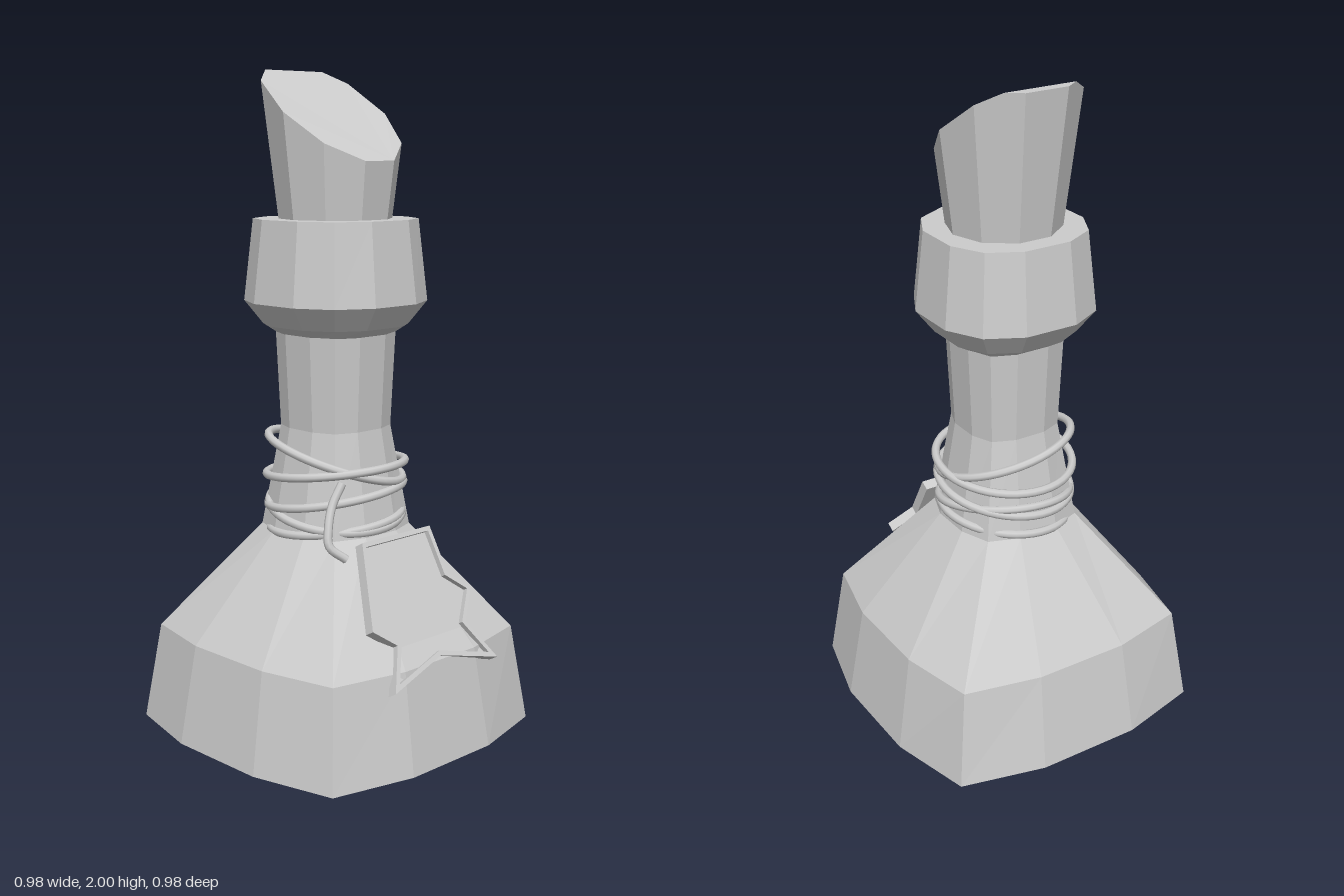
import * as THREE from 'three';

const grey = new THREE.MeshStandardMaterial({ color: 0xcccccc });
grey.name = 'plain grey';
grey.flatShading = true;
const ropeGrey = grey.clone();
ropeGrey.name = 'plain grey smooth';
ropeGrey.flatShading = false;

function add(group, name, geometry, material = grey) {
  const mesh = new THREE.Mesh(geometry, material);
  mesh.name = name;
  group.add(mesh);
  return mesh;
}

// Joins rings of points (anticlockwise seen from above) and closes the given upward caps
function loft(rings, caps) {
  const pos = [];
  const tri = (...pts) => pts.forEach((p) => pos.push(...p));
  for (let k = 0; k < rings.length - 1; k++) {
    const lo = rings[k], hi = rings[k + 1], n = lo.length;
    for (let i = 0; i < n; i++) {
      const j = (i + 1) % n;
      tri(lo[i], lo[j], hi[j]);
      tri(lo[i], hi[j], hi[i]);
    }
  }
  const bottom = [...rings[0]].reverse();
  for (const cap of [bottom, ...caps]) {
    for (let i = 1; i < cap.length - 1; i++) tri(cap[0], cap[i], cap[i + 1]);
  }
  const geo = new THREE.BufferGeometry();
  geo.setAttribute('position', new THREE.Float32BufferAttribute(pos, 3));
  geo.computeVertexNormals();
  return geo;
}

// Twelve-cornered ring: a = half flat side, c = diagonal corner, r = reach
function ring([y, a, c, r]) {
  const pts = [];
  for (let q = 0; q < 4; q++) {
    for (const [x, z] of [[-a, r], [a, r], [c, c]]) {
      const t = q * Math.PI / 2;
      pts.push([x * Math.cos(t) + z * Math.sin(t), y, z * Math.cos(t) - x * Math.sin(t)]);
    }
  }
  return pts;
}

function ringBody(profile) {
  const rings = profile.map(ring);
  return loft(rings, [rings[rings.length - 1]]);
}

// Ten-sided stopper, cut at a slant with a small level strip at the back
function stopper() {
  const half = [[0.309, 0.951, 1.735], [0.809, 0.588, 1.785], [1, 0, 1.873],
    [0.809, -0.588, 1.965], [0.517, -0.8, 2], [0.309, -0.951, 2]];
  const mirrored = [...half].reverse().map(([x, z, y]) => [-x, z, y]);
  const all = [...half, ...mirrored];
  const at = (y) => 0.172 + 0.123 * (y - 1.57);
  const low = all.map(([x, z]) => [x * at(1.55), 1.55, z * at(1.55)]);
  const top = all.map(([x, z, y]) => [x * at(y), y, z * at(y)]);
  const slant = [...top.slice(0, 5), ...top.slice(7)];
  return loft([low, top], [slant, top.slice(4, 8)]);
}

// Moves an anticlockwise outline inward by d
function inset(pts, d) {
  return pts.map((p, i) => {
    const a = pts[(i + pts.length - 1) % pts.length], b = pts[(i + 1) % pts.length];
    const u = p.clone().sub(a).normalize(), v = b.clone().sub(p).normalize();
    const n1 = new THREE.Vector2(-u.y, u.x), n2 = new THREE.Vector2(-v.y, v.x);
    return n1.clone().add(n2).multiplyScalar(d / (1 + n1.dot(n2))).add(p);
  });
}

function label() {
  const group = new THREE.Group();
  group.name = 'label';
  const outline = [[0, 0.06], [0.222, 0], [0.15, 0.13], [0.225, 0.224], [0.15, 0.287],
    [0.15, 0.437], [-0.14, 0.437], [-0.222, 0.184], [-0.15, 0.126], [-0.222, 0]]
    .map(([x, y]) => new THREE.Vector2(x, y));
  const inner = inset(outline, 0.014);
  const border = new THREE.Shape(outline);
  border.holes.push(new THREE.Path(inner));
  add(group, 'labelBorder', new THREE.ExtrudeGeometry(border, { depth: 0.032, bevelEnabled: false }));
  add(group, 'labelPanel', new THREE.ExtrudeGeometry(new THREE.Shape(inner), { depth: 0.016, bevelEnabled: false }));
  group.position.set(0, 0.245, 0.443);
  group.rotation.x = -0.517;
  return group;
}

// Cord loops tilted around the neck: height, radius, tilt along x, tilt along z
function cord() {
  const group = new THREE.Group();
  group.name = 'cord';
  const loops = [[0.81, 0.212, 0.005, 0.025], [0.845, 0.205, -0.045, -0.05],
    [0.73, 0.208, 0.02, 0.03], [0.69, 0.205, 0.015, -0.04], [0.65, 0.203, 0.02, 0.015]];
  for (const [y, r, tx, tz] of loops) {
    const pts = [];
    for (let i = 0; i < 16; i++) {
      const c = Math.cos(i * Math.PI / 8), s = Math.sin(i * Math.PI / 8);
      pts.push(new THREE.Vector3(r * c, y + tx * c + tz * s, r * s));
    }
    const path = new THREE.CatmullRomCurve3(pts, true);
    add(group, 'cordLoop', new THREE.TubeGeometry(path, 48, 0.013, 8, true), ropeGrey);
  }
  // Hanging end that reaches the label
  const end = new THREE.CatmullRomCurve3([[-0.13, 0.8, 0.16], [-0.17, 0.74, 0.16],
    [-0.2, 0.68, 0.175], [-0.21, 0.63, 0.19], [-0.17, 0.59, 0.22]].map((p) => new THREE.Vector3(...p)));
  add(group, 'cordEnd', new THREE.TubeGeometry(end, 20, 0.013, 8), ropeGrey);
  return group;
}

export function createModel() {
  const model = new THREE.Group();
  model.name = 'bottle';
  add(model, 'bottleBody', ringBody([
    [0, 0.165, 0.425, 0.49], [0.3, 0.15, 0.387, 0.44], [0.63, 0.065, 0.16, 0.195],
    [0.94, 0.05, 0.118, 0.145], [1.23, 0.053, 0.128, 0.158]]));
  add(model, 'collar', ringBody([
    [1.22, 0.053, 0.122, 0.15], [1.25, 0.068, 0.155, 0.2],
    [1.32, 0.085, 0.195, 0.252], [1.565, 0.076, 0.175, 0.226]]));
  add(model, 'stopper', stopper());
  model.add(label(), cord());
  return model;
}
